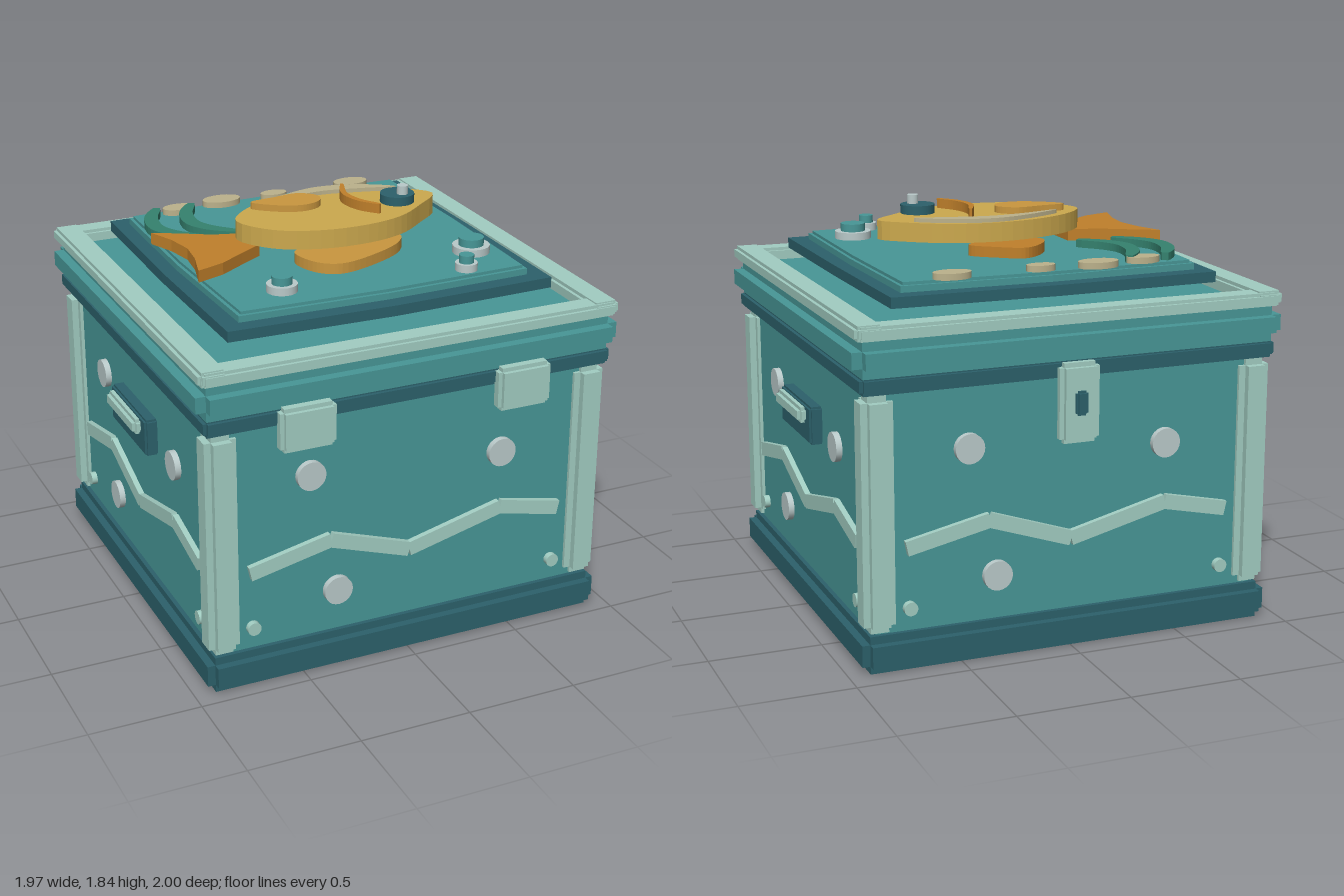
import * as THREE from 'three';

const CZ = 0.015; // centre of the chest in z

const paint = (name, color) => {
  const m = new THREE.MeshStandardMaterial({ color });
  m.name = name;
  return m;
};

export function createModel() {
  const model = new THREE.Group();
  model.name = 'aquariumChest';
  const teal = paint('teal', 0x489797);
  const dark = paint('deepTeal', 0x2c616b);
  const mint = paint('paleMint', 0xa2cdc2);
  const silver = paint('bubbleGrey', 0xbacaca);
  const gold = paint('gold', 0xcca94e);
  const amber = paint('amber', 0xca973f);
  const orange = paint('orange', 0xc0802b);
  const sand = paint('sand', 0xbcb28c);
  const green = paint('weedGreen', 0x35826f);

  const add = (parent, name, geo, mat, x = 0, y = 0, z = 0) => {
    const m = new THREE.Mesh(geo, mat);
    m.name = name;
    m.position.set(x, y, z);
    parent.add(m);
    return m;
  };

  // Box with stepped edges: three boxes, each full size along one axis only
  const stepBox = (parent, name, w, h, d, b, mat, x, y, z) => {
    const g = new THREE.Group();
    g.name = name;
    g.position.set(x, y, z);
    for (let i = 0; i < 3; i++) {
      const s = [w, h, d].map((v, k) => (k === i ? v : v - 2 * b));
      add(g, name + 'Block', new THREE.BoxGeometry(...s), mat);
    }
    parent.add(g);
    return g;
  };

  const disc = (parent, name, r, h, mat, x, y, z) =>
    add(parent, name, new THREE.CylinderGeometry(r, r, h, 24), mat, x, y, z);

  // Flat slab from [x, z] points, standing from y0 to y1
  const slab = (name, pts, y0, y1, mat, smooth = true) => {
    const v = pts.map(([x, z]) => new THREE.Vector3(x, -z, 0));
    const outline = smooth ? new THREE.CatmullRomCurve3(v, true).getPoints(48) : v;
    const shape = new THREE.Shape(outline.map(p => new THREE.Vector2(p.x, p.y)));
    const geo = new THREE.ExtrudeGeometry(shape, { depth: y1 - y0, bevelEnabled: false });
    geo.rotateX(-Math.PI / 2);
    return add(model, name, geo, mat, 0, y0, 0);
  };

  // Ribbon of a given half width along [x, z] points
  const ribbon = (name, pts, half, y0, y1, mat) => {
    const curve = new THREE.CatmullRomCurve3(pts.map(([x, z]) => new THREE.Vector3(x, 0, z)));
    const a = [], b = [];
    for (let i = 0; i <= 20; i++) {
      const t = i / 20, p = curve.getPoint(t), d = curve.getTangent(t);
      const w = half * (0.45 + 0.55 * Math.sqrt(Math.sin(Math.PI * Math.min(Math.max(t, 0), 1)) + 1e-6));
      a.push([p.x - d.z * w, p.z + d.x * w]);
      b.unshift([p.x + d.z * w, p.z - d.x * w]);
    }
    return slab(name, [...a, ...b], y0, y1, mat, false);
  };

  // Chest body, base, band and lid
  stepBox(model, 'base', 1.88, 0.165, 1.88, 0.035, dark, 0, 0.0825, CZ);
  stepBox(model, 'body', 1.77, 1.1, 1.77, 0.01, teal, 0, 0.69, CZ);
  stepBox(model, 'band', 1.88, 0.08, 1.88, 0.016, dark, 0, 1.24, CZ);
  stepBox(model, 'lid', 1.94, 0.16, 1.94, 0.045, teal, 0, 1.35, CZ);

  // Corner posts
  for (const sx of [-1, 1]) for (const sz of [-1, 1])
    stepBox(model, 'cornerPost', 0.14, 1.02, 0.14, 0.03, mint, sx * 0.86, 0.685, CZ + sz * 0.86);

  // Lid rim
  for (const s of [-1, 1]) {
    stepBox(model, 'sideRim', 0.125, 0.065, 1.91, 0.015, mint, s * 0.9, 1.4625, CZ);
    stepBox(model, 'endRim', 1.9, 0.06, 0.115, 0.014, mint, 0, 1.459, CZ + s * 0.903);
  }

  // Wave trim, bubbles and studs, the same on all four walls
  const wave = [[-0.74, 0.53], [-0.37, 0.61], [0, 0.485], [0.44, 0.595], [0.735, 0.53]];
  const spots = [[-0.46, 0.93, 0.065], [0.44, 0.86, 0.065], [-0.335, 0.36, 0.065],
    [-0.725, 0.265, 0.03], [0.72, 0.265, 0.03]];
  for (let k = 0; k < 4; k++) {
    const wall = new THREE.Group();
    wall.name = 'wallDecoration';
    wall.position.z = CZ;
    wall.rotation.y = k * Math.PI / 2;
    model.add(wall);
    for (let i = 0; i < wave.length - 1; i++) {
      const [x0, y0] = wave[i], [x1, y1] = wave[i + 1];
      const geo = new THREE.BoxGeometry(Math.hypot(x1 - x0, y1 - y0), 0.065, 0.04);
      add(wall, 'waveTrim', geo, mint, (x0 + x1) / 2, (y0 + y1) / 2, 0.89)
        .rotation.z = Math.atan2(y1 - y0, x1 - x0);
    }
    for (const [x, y, r] of spots)
      disc(wall, r > 0.05 ? 'wallBubble' : 'stud', r, 0.04, r > 0.05 ? silver : mint, x, y, 0.892)
        .rotation.x = Math.PI / 2;
  }

  // Side handles
  for (const s of [-1, 1]) {
    stepBox(model, 'handlePlate', 0.065, 0.17, 0.45, 0.01, dark, s * 0.912, 0.895, CZ);
    stepBox(model, 'handleBar', 0.05, 0.07, 0.37, 0.016, mint, s * 0.96, 0.937, CZ);
    stepBox(model, 'hinge', 0.25, 0.195, 0.07, 0.018, mint, s * 0.5, 1.187, 0.965);
  }

  // Rear latch
  stepBox(model, 'latch', 0.18, 0.345, 0.065, 0.02, mint, 0, 1.1, -0.95);
  stepBox(model, 'latchKnob', 0.055, 0.105, 0.04, 0.01, dark, 0, 1.103, -0.98);

  // Raised picture panel with gently bowed edges
  slab('pictureFrame', [[-0.742, -0.735], [0, -0.753], [0.742, -0.735], [0.752, 0],
    [0.752, 0.745], [0, 0.767], [-0.75, 0.745], [-0.757, 0]], 1.51, 1.557, dark, false);
  slab('picturePanel', [[-0.675, -0.66], [0, -0.68], [0.675, -0.66], [0.685, 0],
    [0.672, 0.672], [0, 0.692], [-0.672, 0.672], [-0.69, 0]], 1.557, 1.585, teal, false);
  slab('picturePanelTop', [[-0.66, -0.645], [0, -0.665], [0.66, -0.645], [0.67, 0],
    [0.657, 0.657], [0, 0.677], [-0.657, 0.657], [-0.675, 0]], 1.585, 1.598, teal, false);

  // Pebbles
  for (const [x, z, rx, rz] of [[-0.45, -0.61, 0.077, 0.046], [-0.225, -0.64, 0.092, 0.055],
    [0.035, -0.625, 0.065, 0.038], [0.44, -0.635, 0.085, 0.052]])
    disc(model, 'pebble', 1, 0.028, sand, x, 1.611, z).scale.set(rx, 1, rz);

  // Seaweed
  for (const dx of [0, 0.17])
    ribbon('seaweed', [[-0.555 + dx, -0.615], [-0.625 + dx, -0.5], [-0.645 + dx, -0.36],
      [-0.6 + dx, -0.265], [-0.505 + dx, -0.175]], 0.034, 1.598, 1.632, green);

  // Bubbles on the panel
  for (const [x, z, r] of [[0.535, 0.415, 0.083], [-0.41, 0.51, 0.067], [0.41, 0.605, 0.049]]) {
    disc(model, 'bubbleRing', r, 0.034, silver, x, 1.615, z);
    disc(model, 'bubbleCentre', r * 0.67, 0.036, teal, x, 1.649, z);
  }

  // Fish fins and tail
  slab('tail', [[-0.72, -0.235], [-0.6, -0.17], [-0.48, -0.1], [-0.34, -0.06], [-0.34, 0.1],
    [-0.45, 0.17], [-0.57, 0.25], [-0.7, 0.297], [-0.66, 0.15], [-0.645, 0.02], [-0.67, -0.11]],
  1.605, 1.658, orange, false);
  slab('dorsalFin', [[-0.15, -0.2], [-0.12, -0.29], [0, -0.385], [0.12, -0.32], [0.21, -0.23],
    [0.1, -0.15], [-0.08, -0.15]], 1.605, 1.652, orange);
  slab('bellyFin', [[-0.23, 0.23], [-0.2, 0.39], [-0.11, 0.45], [0.1, 0.39], [0.24, 0.3],
    [0.28, 0.22], [0.05, 0.17]], 1.605, 1.652, amber);

  // Fish body
  slab('fishBody', [[-0.41, 0.01], [-0.33, -0.11], [-0.15, -0.21], [0.06, -0.245], [0.27, -0.21],
    [0.44, -0.11], [0.55, 0.01], [0.42, 0.14], [0.28, 0.24], [0.1, 0.285], [-0.12, 0.27],
    [-0.31, 0.18]], 1.66, 1.745, gold);
  slab('backHighlight', [[-0.26, -0.11], [-0.1, -0.19], [0.08, -0.232], [0.27, -0.19],
    [0.415, -0.095], [0.25, -0.135], [0.08, -0.168], [-0.08, -0.152]], 1.745, 1.763, sand);
  slab('pectoralFin', [[-0.3, -0.095], [-0.18, -0.115], [-0.06, -0.125], [0.01, -0.06],
    [-0.01, 0.005], [-0.09, 0.035], [-0.19, 0.005]], 1.755, 1.785, amber);
  ribbon('gill', [[0.165, -0.14], [0.12, -0.01], [0.14, 0.1], [0.2, 0.19]], 0.014, 1.752, 1.795, orange);

  // Eye
  disc(model, 'eye', 0.077, 0.04, dark, 0.337, 1.775, 0.078);
  disc(model, 'eyeGlint', 0.025, 0.04, silver, 0.352, 1.815, 0.1);

  return model;
}
